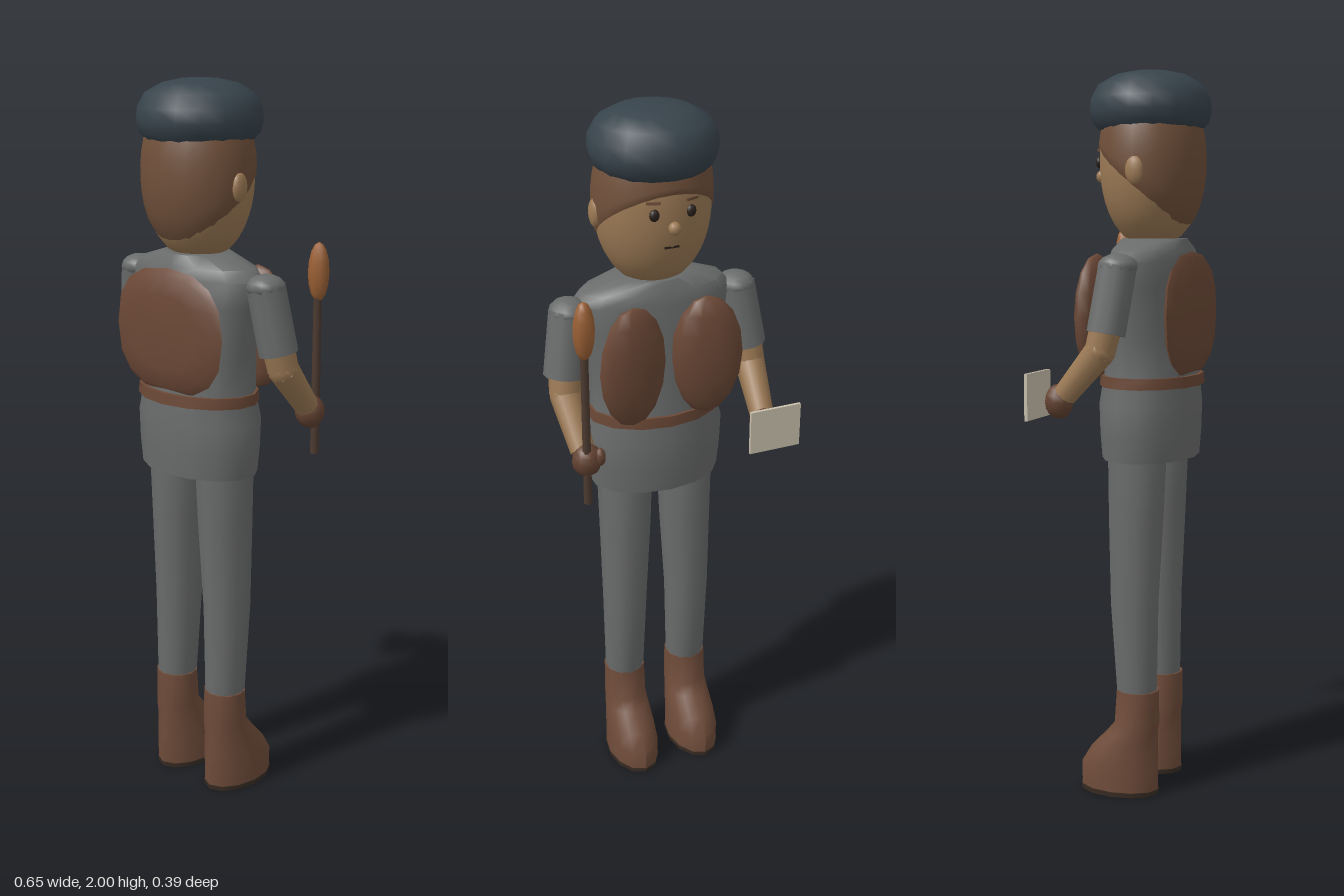
import * as THREE from 'three';
import { toCreasedNormals } from 'three/addons/utils/BufferGeometryUtils.js';

const CX = 0.007; // body axis
const mat = (color) => new THREE.MeshStandardMaterial({ color });
const M = {
  cloth: mat(0x6a6c6b), leather: mat(0x6b4836), skin: mat(0x9c7a55), hair: mat(0x70503a),
  hat: mat(0x37434b), boot: mat(0x6f4c3a), sole: mat(0x3a2d24), dark: mat(0x2a211c),
  wood: mat(0x4c3a30), tip: mat(0x9a6035), paper: mat(0xc9c0ac), glove: mat(0x644332),
};
M.hair.side = THREE.DoubleSide;

export function createModel() {
  const model = new THREE.Group();
  model.name = 'figure';

  const add = (name, geo, material, x = 0, y = 0, z = 0) => {
    const m = new THREE.Mesh(geo, material);
    m.name = name;
    m.position.set(x, y, z);
    model.add(m);
    return m;
  };

  // Closed-round surface from point(angle, row), rows running upwards
  const skin = (n, rows, point, caps = true) => {
    const pos = [], idx = [];
    for (let j = 0; j < rows; j++)
      for (let i = 0; i < n; i++) pos.push(...point((i / n) * Math.PI * 2, j));
    for (let j = 0; j < rows - 1; j++)
      for (let i = 0; i < n; i++) {
        const a = j * n + i, b = j * n + (i + 1) % n;
        idx.push(a, b, b + n, a, b + n, a + n);
      }
    if (caps) {
      const t = (rows - 1) * n;
      for (let i = 1; i < n - 1; i++) idx.push(0, i + 1, i, t, t + i, t + i + 1);
    }
    const g = new THREE.BufferGeometry();
    g.setAttribute('position', new THREE.Float32BufferAttribute(pos, 3));
    g.setIndex(idx);
    return toCreasedNormals(g, 0.8);
  };

  // Rings are [y, x, z, radiusX, radiusZ]
  const loft = (rings, n = 12) => skin(n, rings.length, (a, j) => {
    const [y, x, z, rx, rz] = rings[j];
    return [x + rx * Math.sin(a), y, z + rz * Math.cos(a)];
  });

  const ball = (name, material, x, y, z, rx, ry, rz, n = 12) =>
    add(name, new THREE.SphereGeometry(1, n, 8).scale(rx, ry, rz), material, x, y, z);

  // Tapered limb between two points
  const limb = (name, material, a, b, ra, rb, n = 10) => {
    const p = new THREE.Vector3(...a), d = new THREE.Vector3(...b).sub(p);
    const m = add(name, new THREE.CylinderGeometry(rb, ra, d.length(), n), material);
    m.position.copy(p).addScaledVector(d, 0.5);
    m.quaternion.setFromUnitVectors(new THREE.Vector3(0, 1, 0), d.normalize());
    return m;
  };

  // Tunic and belt
  add('tunic', loft([
    [0.95, 0, 0.032, 0.187, 0.127], [1.02, 0, 0.032, 0.194, 0.132], [1.1, 0, 0.032, 0.197, 0.134],
    [1.17, 0, 0.034, 0.18, 0.126], [1.28, 0, 0.036, 0.188, 0.118], [1.42, 0, 0.038, 0.21, 0.112],
    [1.49, 0, 0.04, 0.225, 0.105], [1.52, 0, 0.04, 0.2, 0.1], [1.55, 0, 0.042, 0.1, 0.088],
  ], 14), M.cloth, CX);
  add('belt', loft([[1.15, 0, 0.036, 0.19, 0.138], [1.18, 0, 0.036, 0.188, 0.136]], 14), M.leather, CX);

  // Backpack and chest pouches
  add('backpack', skin(16, 7, (a, j) => {
    const lat = (j / 6 - 0.5) * Math.PI, c = Math.cos(lat) ** 0.75;
    const q = (v) => Math.sign(v) * Math.abs(v) ** 0.8;
    return [0.2 * c * q(Math.sin(a)), 0.17 * c * q(-Math.cos(a)), 0.027 * Math.sin(lat)];
  }), M.leather, CX, 1.345, 0.148);
  for (const s of [-1, 1])
    ball('chestPouch', M.leather, CX + s * 0.105, 1.34, -0.087, 0.1, 0.17, 0.04, 10).rotation.y = s * 0.15;

  // Legs and boots
  for (const s of [-1, 1]) {
    add('leg', loft([
      [0.28, s * 0.098, 0.028, 0.056, 0.057], [0.55, s * 0.097, 0.02, 0.063, 0.07],
      [0.8, s * 0.092, 0.023, 0.072, 0.08], [1.0, s * 0.09, 0.026, 0.078, 0.086],
    ], 10), M.cloth, CX);
    add('boot', loft([
      [0.012, 0, -0.025, 0.071, 0.115], [0.07, 0, -0.025, 0.071, 0.115], [0.12, 0, -0.01, 0.068, 0.1],
      [0.17, 0, 0.013, 0.064, 0.075], [0.2, 0, 0.027, 0.062, 0.064], [0.3, 0, 0.03, 0.06, 0.06],
    ]), M.boot, CX + s * 0.098);
    add('sole', loft([[0, 0, -0.025, 0.071, 0.115], [0.014, 0, -0.025, 0.073, 0.117]]), M.sole, CX + s * 0.098);
  }

  // Arms
  for (const s of [-1, 1]) {
    const at = (x, y, z) => [CX + s * x, y, z];
    limb('sleeve', M.cloth, at(0.268, 1.305, 0.006), at(0.24, 1.48, 0.028), 0.053, 0.052);
    ball('shoulder', M.cloth, ...at(0.24, 1.48, 0.028), 0.052, 0.034, 0.054);
    limb('upperArm', M.skin, at(0.27, 1.26, -0.01), at(0.262, 1.34, 0.008), 0.042, 0.044);
    ball('elbow', M.skin, ...at(0.27, 1.26, -0.01), 0.042, 0.042, 0.042);
    limb('forearm', M.skin, at(0.262, 1.14, -0.115), at(0.27, 1.26, -0.01), 0.033, 0.042);
    ball('hand', M.glove, ...at(0.258, 1.122, -0.133), 0.041, 0.047, 0.041, 8);
    ball('thumb', M.glove, ...at(0.228, 1.135, -0.155), 0.015, 0.026, 0.017, 8);
  }

  // Brush in one hand, sheet in the other
  limb('brushHandle', M.wood, [0.27, 1.0, -0.15], [0.27, 1.46, -0.15], 0.012, 0.011, 8);
  ball('brushTip', M.tip, 0.27, 1.5, -0.152, 0.03, 0.08, 0.027, 8);
  add('paper', new THREE.BoxGeometry(0.148, 0.125, 0.009), M.paper, -0.255, 1.137, -0.195);

  // Head, with the hair following the same outline behind a slanted hairline
  const HZ = 0.035;
  const fullness = (y) => (y < 1.76
    ? (1 - ((1.76 - y) / 0.235) ** 2.2) ** (1 / 2.2)
    : Math.sqrt(1 - ((y - 1.76) / 0.25) ** 2));
  const headPoint = (a, y, grow) => {
    const k = fullness(y) * grow;
    return [0.157 * k * Math.sin(a), y, HZ + 0.142 * k * Math.cos(a)];
  };
  const lerp = THREE.MathUtils.lerp;
  add('head', skin(24, 13, (a, j) => headPoint(a, lerp(1.528, 1.88, j / 12), 1)), M.skin, CX);
  add('hair', skin(24, 9, (a, j) => {
    const hairline = 1.6 + (0.095 - 0.14 * Math.cos(a)) * 0.85;
    return headPoint(a, lerp(hairline, 1.88, j / 8), j ? 1.03 : 0.98);
  }, false), M.hair, CX);
  add('neck', new THREE.CylinderGeometry(0.055, 0.065, 0.1, 12), M.skin, CX, 1.56, 0.04);

  // Face
  for (const s of [-1, 1]) {
    ball('ear', M.skin, CX + s * 0.157, 1.73, 0.042, 0.014, 0.038, 0.026, 10);
    ball('eye', M.dark, CX + s * 0.05, 1.755, -0.1, 0.014, 0.016, 0.01, 10);
    const brow = add('eyebrow', new THREE.BoxGeometry(0.036, 0.007, 0.008), M.hair, CX + s * 0.052, 1.787, -0.099);
    brow.rotation.y = s * -0.3;
  }
  ball('nose', M.skin, CX, 1.718, -0.113, 0.017, 0.018, 0.017, 10);
  add('mouth', new THREE.BoxGeometry(0.04, 0.006, 0.008), M.dark, CX, 1.663, -0.093);

  // Flat round cap
  const profile = [[0, 1.84], [0.143, 1.84], [0.162, 1.86], [0.17, 1.89], [0.167, 1.925],
    [0.146, 1.962], [0.1, 1.987], [0.05, 1.997], [0, 2.0]];
  const cap = new THREE.LatheGeometry(profile.map(([r, y]) => new THREE.Vector2(r, y)), 16);
  add('cap', cap.scale(1, 1, 0.97), M.hat, CX, 0, 0.03);

  return model;
}
